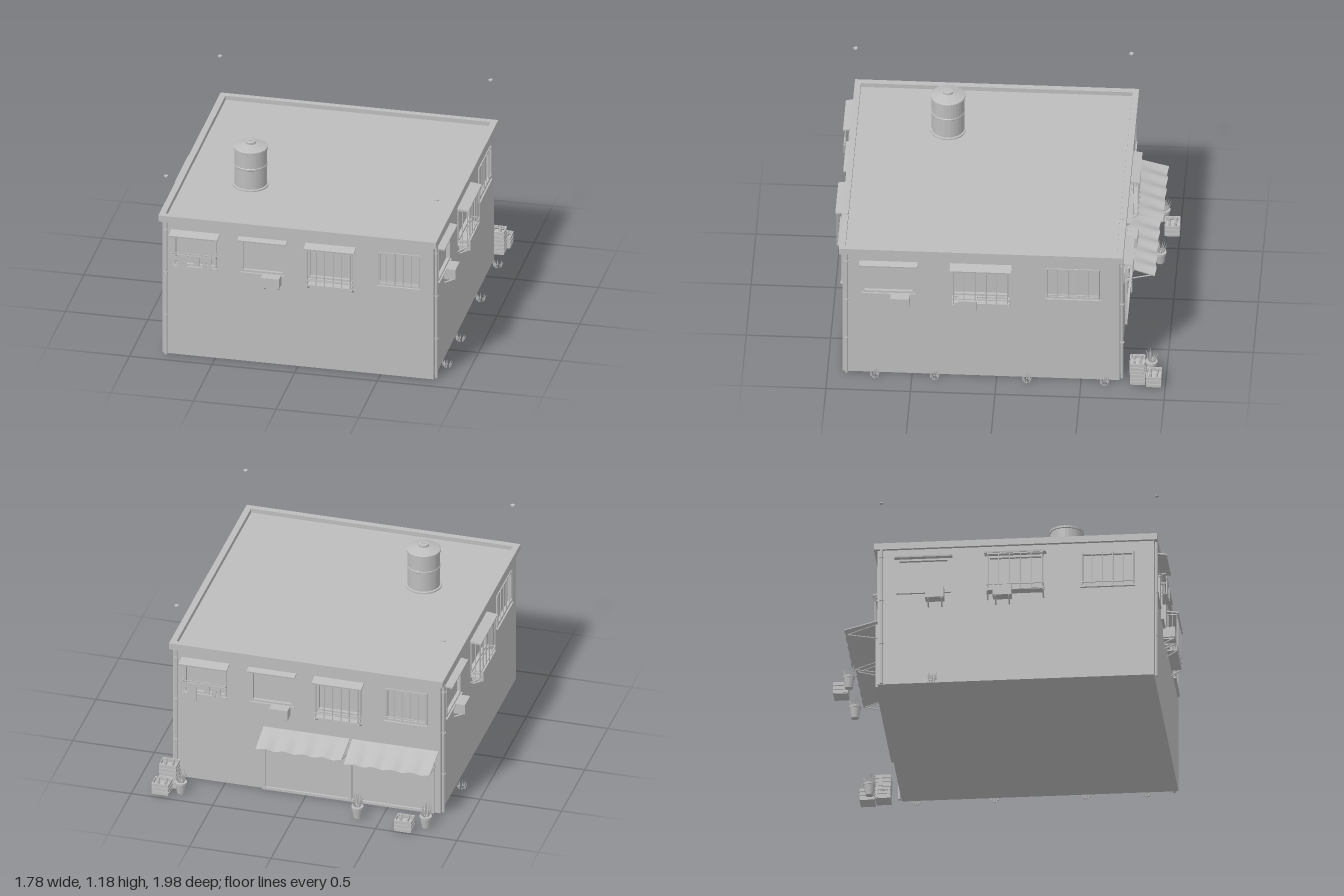
import * as THREE from 'three';

const grey = new THREE.MeshStandardMaterial({ color: 0xbdbdbd });
grey.name = 'plain grey';
const H = 0.82; // half width of the square house

function add(parent, name, geo, x = 0, y = 0, z = 0) {
  const m = new THREE.Mesh(geo, grey);
  m.name = name;
  m.position.set(x, y, z);
  parent.add(m);
  return m;
}
const box = (p, name, w, h, d, x, y, z) => add(p, name, new THREE.BoxGeometry(w, h, d), x, y, z);
const cyl = (p, name, r, h, x, y, z, n = 10, r2 = r) => add(p, name, new THREE.CylinderGeometry(r2, r, h, n), x, y, z);
function group(parent, name, x = 0, y = 0, z = 0) {
  const g = new THREE.Group();
  g.name = name;
  g.position.set(x, y, z);
  parent.add(g);
  return g;
}
// round bar between two points
function rod(p, name, a, b, r = 0.004) {
  const A = new THREE.Vector3(...a), B = new THREE.Vector3(...b), d = B.clone().sub(A);
  const m = add(p, name, new THREE.CylinderGeometry(r, r, d.length(), 6), ...A.clone().add(B).multiplyScalar(0.5));
  m.quaternion.setFromUnitVectors(new THREE.Vector3(0, 1, 0), d.normalize());
}
function shape(pts) {
  return new THREE.Shape(pts.map(([x, y]) => new THREE.Vector2(x, y)));
}

const Y0 = 0.59, Y1 = 0.805; // window opening

// air conditioner on two angle brackets
function airConditioner(p, x) {
  const g = group(p, 'airConditioner', x, 0, 0);
  box(g, 'unit', 0.112, 0.065, 0.07, 0, 0.558, H + 0.035);
  for (const s of [-0.04, 0.04]) {
    box(g, 'bracketArm', 0.008, 0.008, 0.065, s, 0.521, H + 0.032);
    rod(g, 'bracketBrace', [s, 0.492, H], [s, 0.521, H + 0.06], 0.005);
  }
}

// frame, pane, optional canopy and bars
function windowUnit(p, x, w, { canopy = 0, bars = false, cage = false }) {
  const g = group(p, 'window', x, 0, 0), hy = Y1 - Y0, my = (Y0 + Y1) / 2;
  for (const s of [-1, 1]) {
    box(g, 'frameSide', 0.012, hy, 0.02, s * (w / 2 - 0.006), my, H - 0.004);
    box(g, 'frameRail', w, 0.012, 0.02, 0, my + s * (hy / 2 - 0.006), H - 0.004);
  }
  box(g, 'sill', w + 0.01, 0.008, 0.02, 0, Y0 - 0.006, H + 0.005);
  if (canopy) {
    const c = box(g, 'canopy', w + 0.034, 0.009, canopy, 0, 0.809, H + canopy / 2);
    c.rotation.x = 0.15;
  }
  const out = cage ? 0.058 : 0.008, low = cage ? 0.568 : Y0 + 0.01;
  if (bars || cage) {
    for (let i = 0; i <= 5; i++) {
      const bx = (i / 5 - 0.5) * (w - 0.01);
      rod(g, 'bar', [bx, low, H + out], [bx, Y1, H + out], 0.0035);
    }
    for (const y of cage ? [low, 0.60, Y1 - 0.008] : [0.615])
      box(g, 'barRail', w, 0.007, 0.007, 0, y, H + out);
  }
  if (cage) {
    box(g, 'cageFloor', w, 0.006, out, 0, low - 0.004, H + out / 2);
    for (const s of [-1, 1]) {
      const sx = s * w / 2;
      for (const y of [low, 0.60, Y1 - 0.008]) box(g, 'cageSideRail', 0.006, 0.006, out, sx, y, H + out / 2);
      rod(g, 'cageSideBar', [sx, low, H + 0.03], [sx, Y1, H + 0.03], 0.003);
      rod(g, 'cageBrace', [sx, 0.525, H], [sx, 0.56, H + 0.055], 0.005);
    }
  }
}

// clothes line with shirts and trousers
function laundry(p, x) {
  const g = group(p, 'laundry', x, 0.685, H + 0.055);
  for (const s of [-0.13, 0.13]) {
    rod(g, 'lineArm', [s, 0, -0.06], [s, 0, 0.012]);
    rod(g, 'lineBrace', [s, -0.03, -0.055], [s, 0, 0.0], 0.003);
  }
  for (const z of [-0.015, 0.01]) rod(g, 'line', [-0.14, 0, z], [0.14, 0, z], 0.0025);
  const shirt = shape([[-0.02, 0], [0.02, 0], [0.05, -0.022], [0.042, -0.042], [0.028, -0.032], [0.028, -0.12], [-0.028, -0.12], [-0.028, -0.032], [-0.042, -0.042], [-0.05, -0.022]]);
  const trousers = shape([[-0.024, 0], [0.024, 0], [0.028, -0.08], [0.006, -0.08], [0, -0.025], [-0.006, -0.08], [-0.028, -0.08]]);
  [[shirt, -0.065, 1, 0.01], [shirt, 0.015, 0.62, -0.015], [trousers, 0.085, 1, 0.01]].forEach(([s, cx, k, z]) => {
    const m = add(g, 'garment', new THREE.ExtrudeGeometry(s, { depth: 0.006, bevelEnabled: false }), cx, 0.004, z - 0.003);
    m.scale.set(k, k, 1);
  });
}

// one side of the house, built facing +z then turned
function facade(parent, name, turn, wins) {
  const g = group(parent, name);
  g.rotation.y = turn;
  const wall = shape([[-H, 0], [H, 0], [H, 0.88], [-H, 0.88]]);
  for (const [x, w] of wins) {
    const l = x - w / 2, r = x + w / 2;
    wall.holes.push(new THREE.Path([[l, Y0], [l, Y1], [r, Y1], [r, Y0]].map(q => new THREE.Vector2(...q))));
  }
  add(g, 'wall', new THREE.ExtrudeGeometry(wall, { depth: 0.02, bevelEnabled: false }), 0, 0, H - 0.02);
  for (const [x, w, o] of wins) {
    windowUnit(g, x, w, o);
    if (o.ac !== undefined) airConditioner(g, x + o.ac);
    if (o.laundry) laundry(g, x);
  }
  // corner drainpipe with clips and the loose disc above it
  cyl(g, 'drainpipe', 0.009, 0.87, -0.795, 0.435, H + 0.012);
  for (const y of [0.26, 0.54, 0.82, 1.172]) cyl(g, 'pipeClip', 0.013, 0.006, -0.795, y, H + 0.014);
  // parapet
  box(g, 'parapet', 1.68, 0.04, 0.037, 0, 0.89, 0.8215);
  return g;
}

function waterTank(p, x, z) {
  const pts = [[0, 0], [0.107, 0], [0.107, 0.012], [0.097, 0.014], [0.097, 0.135], [0.1, 0.138], [0.1, 0.146], [0.097, 0.149], [0.097, 0.24], [0.102, 0.243], [0.102, 0.255], [0.096, 0.258], [0.035, 0.275], [0.03, 0.276], [0.03, 0.288], [0, 0.29]];
  const g = group(p, 'waterTank', x, 0.882, z);
  const body = new THREE.LatheGeometry(pts.map(q => new THREE.Vector2(...q)), 32).toNonIndexed();
  body.computeVertexNormals();
  add(g, 'tank', body);
  box(g, 'lidHandle', 0.025, 0.008, 0.006, 0, 0.29, 0);
}

// sloping cloth shade with a rippled front edge
function shade(p, x, w, out, drop) {
  const g = group(p, 'shopAwning', x, 0, 0);
  const geo = new THREE.BoxGeometry(w, 0.006, out, 32, 1, 4);
  const pos = geo.attributes.position;
  for (let i = 0; i < pos.count; i++) {
    const t = pos.getZ(i) / out + 0.5, u = pos.getX(i) / w;
    const wave = Math.sin(u * Math.PI * 9);
    pos.setY(i, pos.getY(i) - drop * t + 0.008 * t * wave);
    pos.setZ(i, pos.getZ(i) + 0.004 * t * wave);
  }
  geo.computeVertexNormals();
  add(g, 'cloth', geo, 0, 0.42, H + out / 2);
  for (const s of [-1, 1]) {
    const sx = s * (w / 2 - 0.02);
    rod(g, 'awningStrut', [sx, 0.315, H], [sx, 0.405 - drop, H + out - 0.015]);
    rod(g, 'awningArm', [sx, 0.408, H], [sx, 0.405 - drop, H + out - 0.015], 0.003);
  }
}

function crate(p, x, y, z, turn = 0) {
  const g = group(p, 'crate', x, y, z), w = 0.1, d = 0.085;
  g.rotation.y = turn;
  box(g, 'crateFloor', w, 0.006, d, 0, 0.003, 0);
  for (const sx of [-1, 1]) for (const sz of [-1, 1])
    box(g, 'cratePost', 0.01, 0.076, 0.01, sx * (w / 2 - 0.007), 0.038, sz * (d / 2 - 0.007));
  for (const y of [0.013, 0.038, 0.064]) for (const s of [-1, 1]) {
    box(g, 'longSlat', w, 0.02, 0.005, 0, y, s * d / 2);
    box(g, 'shortSlat', 0.005, 0.02, d, s * w / 2, y, 0);
  }
  box(g, 'crateFilling', w - 0.008, 0.045, d - 0.008, 0, 0.028, 0);
  for (const [a, b] of [[-0.025, -0.02], [0.02, -0.018], [-0.02, 0.02], [0.025, 0.018]])
    cyl(g, 'bottle', 0.009, 0.04, a, 0.065, b, 8, 0.007);
}

// leaning blades used for grass and pot plants
function blades(p, name, n, h, spread, x, y, z) {
  const g = group(p, name, x, y, z);
  for (let i = 0; i < n; i++) {
    const a = i * 2.4, lean = 0.12 + 0.4 * ((i * 0.618) % 1), k = h * (0.65 + 0.35 * ((i * 0.38) % 1));
    const geo = new THREE.ConeGeometry(0.006, k, 3).translate(0, k / 2, 0).rotateZ(-lean).rotateY(a);
    add(g, 'blade', geo, Math.cos(a) * spread, 0, -Math.sin(a) * spread);
  }
}
function potPlant(p, x, z) {
  const g = group(p, 'potPlant', x, 0, z);
  cyl(g, 'pot', 0.024, 0.07, 0, 0.035, 0, 12, 0.034);
  cyl(g, 'potRim', 0.037, 0.012, 0, 0.07, 0, 12);
  blades(g, 'leaves', 14, 0.095, 0.015, 0, 0.07, 0);
}

export function createModel() {
  const root = new THREE.Group();
  root.name = 'shopHouse';
  const house = group(root, 'house', 0, 0, 0.093);

  // inner core serves as window panes, floor and roof
  box(house, 'core', 1.6, 0.885, 1.6, 0, 0.4425, 0);

  const longSide = [
    [-0.62, 0.26, { canopy: 0.07, laundry: true }],
    [-0.21, 0.26, { canopy: 0.045, ac: 0.055 }],
    [0.2, 0.27, { canopy: 0.068, cage: true }],
    [0.6125, 0.255, { bars: true }]];
  const shortSide = [
    [-0.547, 0.31, { canopy: 0.045, ac: 0.07 }],
    [0, 0.33, { canopy: 0.068, cage: true, ac: -0.077 }],
    [0.545, 0.315, { bars: true }]];
  facade(house, 'frontSide', 0, longSide);
  facade(house, 'rightSide', Math.PI / 2, shortSide);
  const back = facade(house, 'backSide', Math.PI, longSide);
  facade(house, 'leftSide', -Math.PI / 2, shortSide);
  waterTank(house, -0.41, 0.265);

  // shop front on the back wall
  shade(back, 0.545, 0.53, 0.195, 0.06);
  shade(back, 0, 0.53, 0.18, 0.05);
  for (const x of [-0.26, 0.27, 0.775]) box(back, 'shopPost', 0.02, 0.4, 0.016, x, 0.2, H + 0.006);
  box(back, 'shopThreshold', 1.05, 0.016, 0.016, 0.257, 0.008, H + 0.006);
  box(back, 'shopLintel', 1.05, 0.016, 0.016, 0.257, 0.4, H + 0.006);

  // goods and plants around the walls
  crate(root, 0.83, 0, -0.93);
  crate(root, 0.812, 0, -0.835);
  crate(root, 0.812, 0.077, -0.832);
  crate(root, -0.665, 0, -0.955);
  potPlant(root, 0.72, -0.91);
  potPlant(root, -0.36, -0.9);
  potPlant(root, -0.78, -0.9);
  for (const [x, z] of [[0.86, 0.72], [0.86, 0.365], [0.86, -0.18], [0.86, -0.64], [-0.86, -0.4]])
    blades(root, 'grassTuft', 10, 0.048, 0.02, x, 0, z);
  return root;
}
